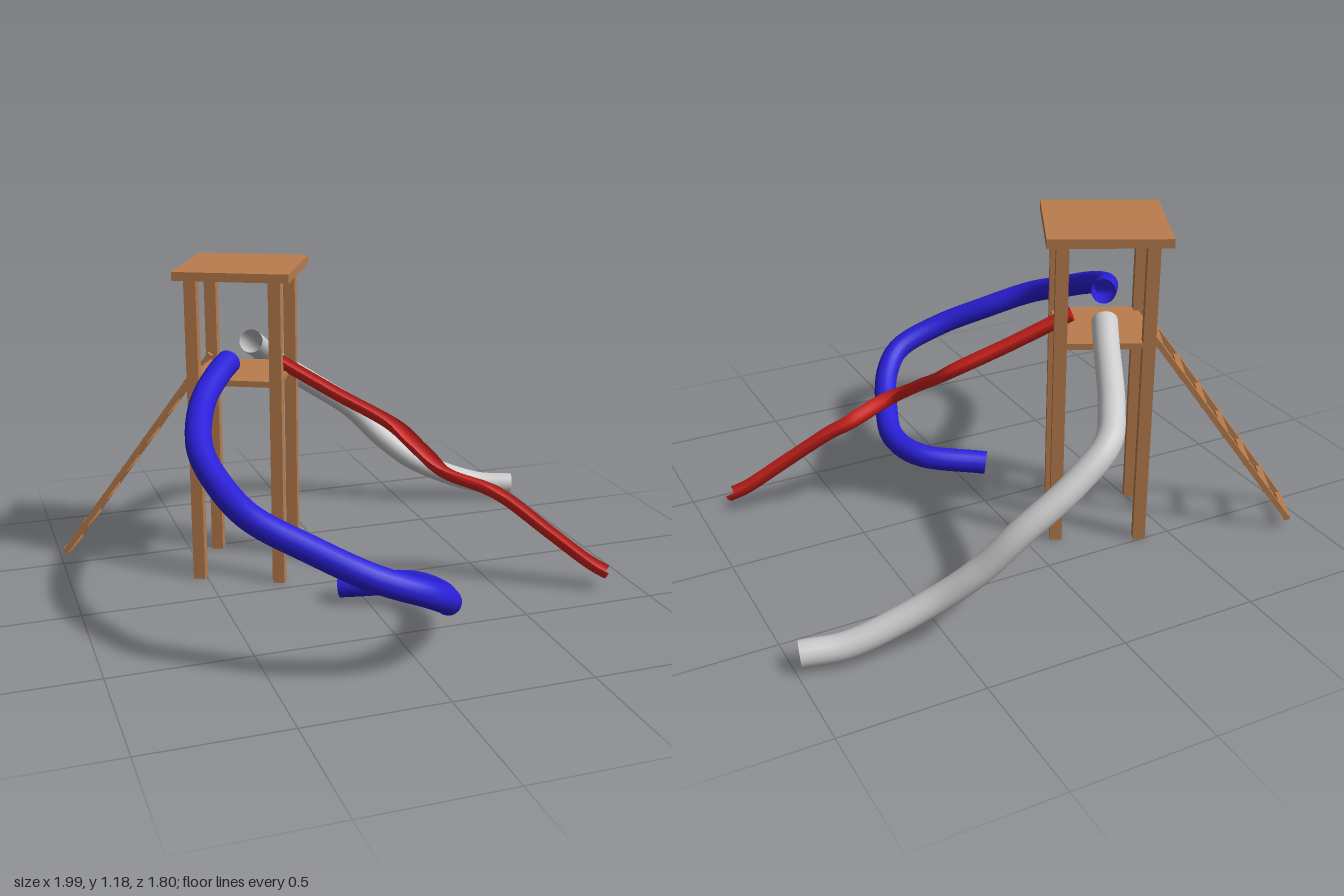
import * as THREE from 'three';
import { ParametricGeometry } from 'three/addons/geometries/ParametricGeometry.js';

const wood = new THREE.MeshStandardMaterial({ color: 0xb97d4d });
const paint = (color) => new THREE.MeshStandardMaterial({ color, side: THREE.DoubleSide });
const pathOf = (points) => new THREE.CatmullRomCurve3(points.map((p) => new THREE.Vector3(...p)));

function addBox(parent, name, size, position) {
  const mesh = new THREE.Mesh(new THREE.BoxGeometry(...size), wood);
  mesh.name = name;
  mesh.position.set(...position);
  parent.add(mesh);
  return mesh;
}

// Closed slide: an open-ended pipe along a path
function tubeSlide(name, color, points) {
  const mesh = new THREE.Mesh(new THREE.TubeGeometry(pathOf(points), 80, 0.045, 20), paint(color));
  mesh.name = name;
  return mesh;
}

// Open slide: a half-round trough, its rim following the path
function troughSlide(name, color, points, radius) {
  const path = pathOf(points);
  const up = new THREE.Vector3(0, 1, 0);
  const surface = (u, v, target) => {
    const tangent = path.getTangentAt(v);
    const side = new THREE.Vector3().crossVectors(tangent, up).normalize();
    const normal = new THREE.Vector3().crossVectors(side, tangent);
    const angle = Math.PI * u;
    target.copy(path.getPointAt(v))
      .addScaledVector(side, -Math.cos(angle) * radius)
      .addScaledVector(normal, -Math.sin(angle) * radius);
  };
  const mesh = new THREE.Mesh(new ParametricGeometry(surface, 12, 70), paint(color));
  mesh.name = name;
  return mesh;
}

function buildLadder() {
  const ladder = new THREE.Group();
  ladder.name = 'ladder';
  const top = new THREE.Vector2(-0.15, 0.81);
  const foot = new THREE.Vector2(-0.71, 0.04);
  const run = top.clone().sub(foot);
  // Leaning rails
  for (const s of [-1, 1]) {
    const rail = addBox(ladder, 'ladderRail', [0.02, run.length(), 0.02],
      [(top.x + foot.x) / 2, (top.y + foot.y) / 2, s * 0.088]);
    rail.rotation.z = -Math.atan2(run.x, run.y);
  }
  // Rungs
  for (let i = 0; i < 7; i++) {
    const p = foot.clone().addScaledVector(run, 0.005 + i * 0.151);
    addBox(ladder, 'ladderRung', [0.02, 0.02, 0.18], [p.x, p.y, 0]);
  }
  ladder.position.z = -0.012;
  return ladder;
}

function buildTower() {
  const tower = new THREE.Group();
  tower.name = 'tower';
  // Corner posts
  for (const sx of [-1, 1]) {
    for (const sz of [-1, 1]) {
      addBox(tower, 'post', [0.044, 1.145, 0.044], [sx * 0.152, 0.5725, sz * 0.152]);
    }
  }
  addBox(tower, 'platform', [0.33, 0.022, 0.33], [0, 0.768, 0]);
  addBox(tower, 'roof', [0.42, 0.032, 0.42], [0, 1.16, -0.013]);
  tower.add(buildLadder());
  tower.position.set(-0.318, 0, -0.275);
  tower.rotation.y = -0.46;
  return tower;
}

export function createModel() {
  const model = new THREE.Group();
  model.name = 'playTower';
  model.add(buildTower());

  // Long curling pipe at the front
  model.add(tubeSlide('spiralTubeSlide', 0x2a1fd8, [
    [-0.405, 0.845, -0.15], [-0.45, 0.83, -0.09], [-0.555, 0.768, 0.08], [-0.62, 0.68, 0.31],
    [-0.6, 0.61, 0.47], [-0.535, 0.54, 0.63], [-0.38, 0.46, 0.74], [-0.2, 0.375, 0.835],
    [-0.02, 0.3, 0.845], [0.07, 0.235, 0.77], [0.14, 0.155, 0.62], [0.185, 0.11, 0.45],
    [0.14, 0.09, 0.3], [-0.09, 0.06, 0.17],
  ]));

  // Pipe that bends round from the back
  model.add(tubeSlide('bentTubeSlide', 0xcccccc, [
    [-0.255, 0.855, -0.4], [-0.21, 0.815, -0.485], [-0.09, 0.7, -0.72], [-0.015, 0.64, -0.82],
    [0.13, 0.54, -0.855], [0.3, 0.42, -0.845], [0.43, 0.285, -0.8], [0.565, 0.18, -0.745],
    [0.83, 0.07, -0.69], [0.98, 0.057, -0.65],
  ]));

  // Open trough to the right-hand front corner
  model.add(troughSlide('openSlide', 0xd8241f, [
    [-0.21, 0.84, -0.24], [0, 0.71, -0.13], [0.185, 0.6, -0.025], [0.25, 0.53, 0.07],
    [0.32, 0.46, 0.15], [0.48, 0.385, 0.168], [0.55, 0.345, 0.2], [0.7, 0.22, 0.285],
    [0.84, 0.105, 0.36], [0.89, 0.075, 0.39],
  ], 0.038));
  return model;
}
